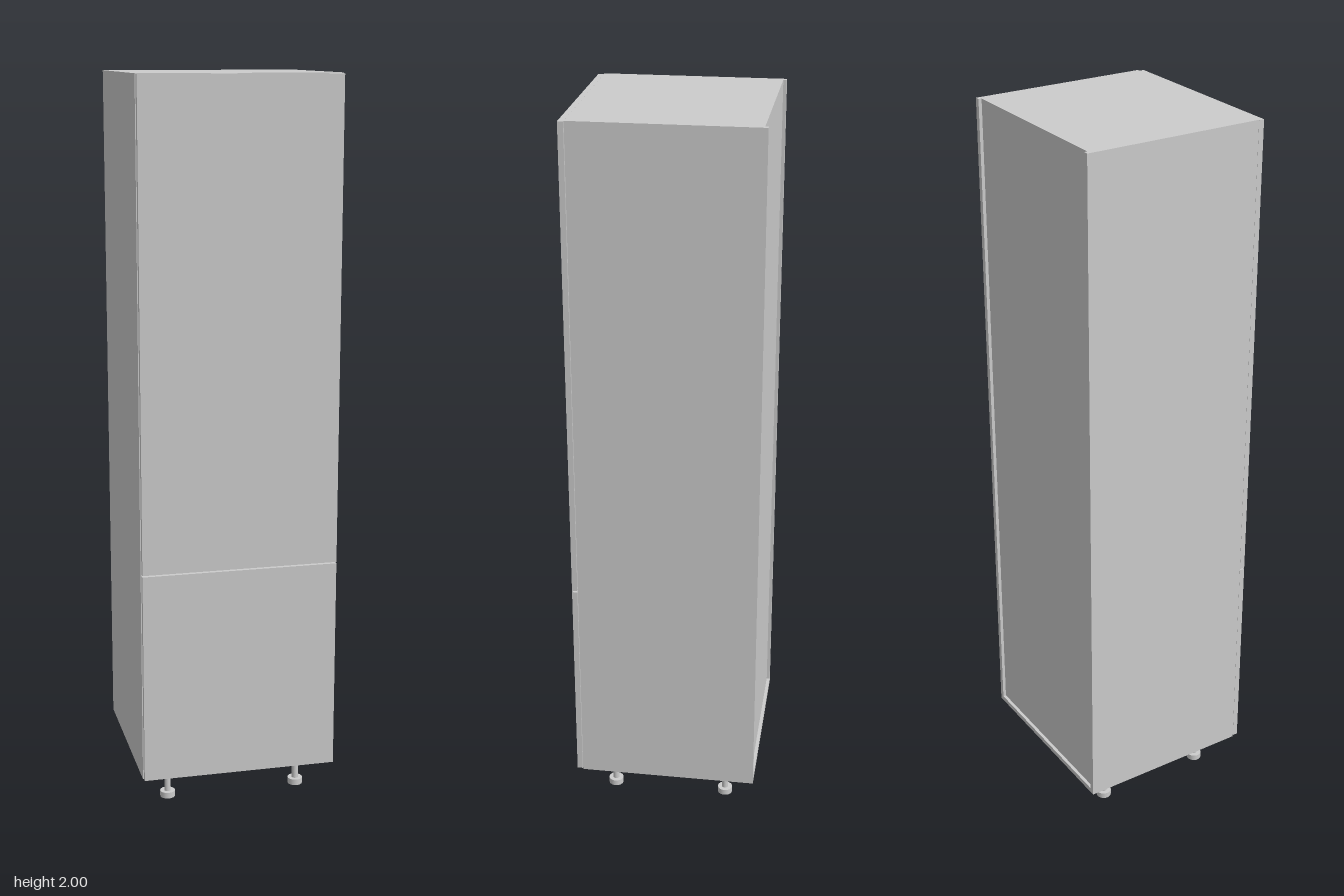
import * as THREE from 'three';

const material = new THREE.MeshStandardMaterial({ color: 0xcccccc });

// Box given by its minimum and maximum corners
function panel(name, [x0, y0, z0], [x1, y1, z1]) {
  const mesh = new THREE.Mesh(new THREE.BoxGeometry(x1 - x0, y1 - y0, z1 - z0), material);
  mesh.position.set((x0 + x1) / 2, (y0 + y1) / 2, (z0 + z1) / 2);
  mesh.name = name;
  return mesh;
}

function disc(name, radius, y0, y1) {
  const mesh = new THREE.Mesh(new THREE.CylinderGeometry(radius, radius, y1 - y0, 24), material);
  mesh.position.y = (y0 + y1) / 2;
  mesh.name = name;
  return mesh;
}

// Adjustable leg: foot, stem and mounting flange
function createLeg(x, z) {
  const leg = new THREE.Group();
  leg.name = 'leg';
  leg.add(
    disc('foot', 0.021, 0, 0.017),
    disc('stem', 0.009, 0.017, 0.083),
    disc('flange', 0.021, 0.083, 0.097),
  );
  leg.position.set(x, 0, z);
  return leg;
}

export function createModel() {
  const cabinet = new THREE.Group();
  cabinet.name = 'tallCabinet';

  const w = 0.272, inner = 0.258, t = 0.014;
  const bottom = 0.097, top = 2;
  const back = -0.257, panelBack = -0.248, front = 0.239;

  // Carcass, with the back panel set in between the sides
  cabinet.add(
    panel('rightSide', [-w, bottom, back], [-inner, top, front]),
    panel('leftSide', [inner, bottom, back], [w, top, front]),
    panel('bottomPanel', [-inner, bottom, back], [inner, bottom + t, front]),
    panel('topPanel', [-inner, top - t, panelBack], [inner, top, front]),
    panel('backPanel', [-inner, bottom + t, panelBack], [inner, top - t, panelBack + 0.006]),
    panel('middleShelf', [-inner, 0.683, panelBack + 0.006], [inner, 0.697, front]),
  );

  // Two doors with a narrow gap between them
  const d = 0.27, doorBack = 0.241, doorFront = 0.256;
  cabinet.add(
    panel('lowerDoor', [-d, bottom + 0.002, doorBack], [d, 0.688, doorFront]),
    panel('upperDoor', [-d, 0.692, doorBack], [d, top - 0.002, doorFront]),
  );

  for (const x of [-0.187, 0.187]) {
    for (const z of [-0.168, 0.157]) cabinet.add(createLeg(x, z));
  }
  return cabinet;
}
